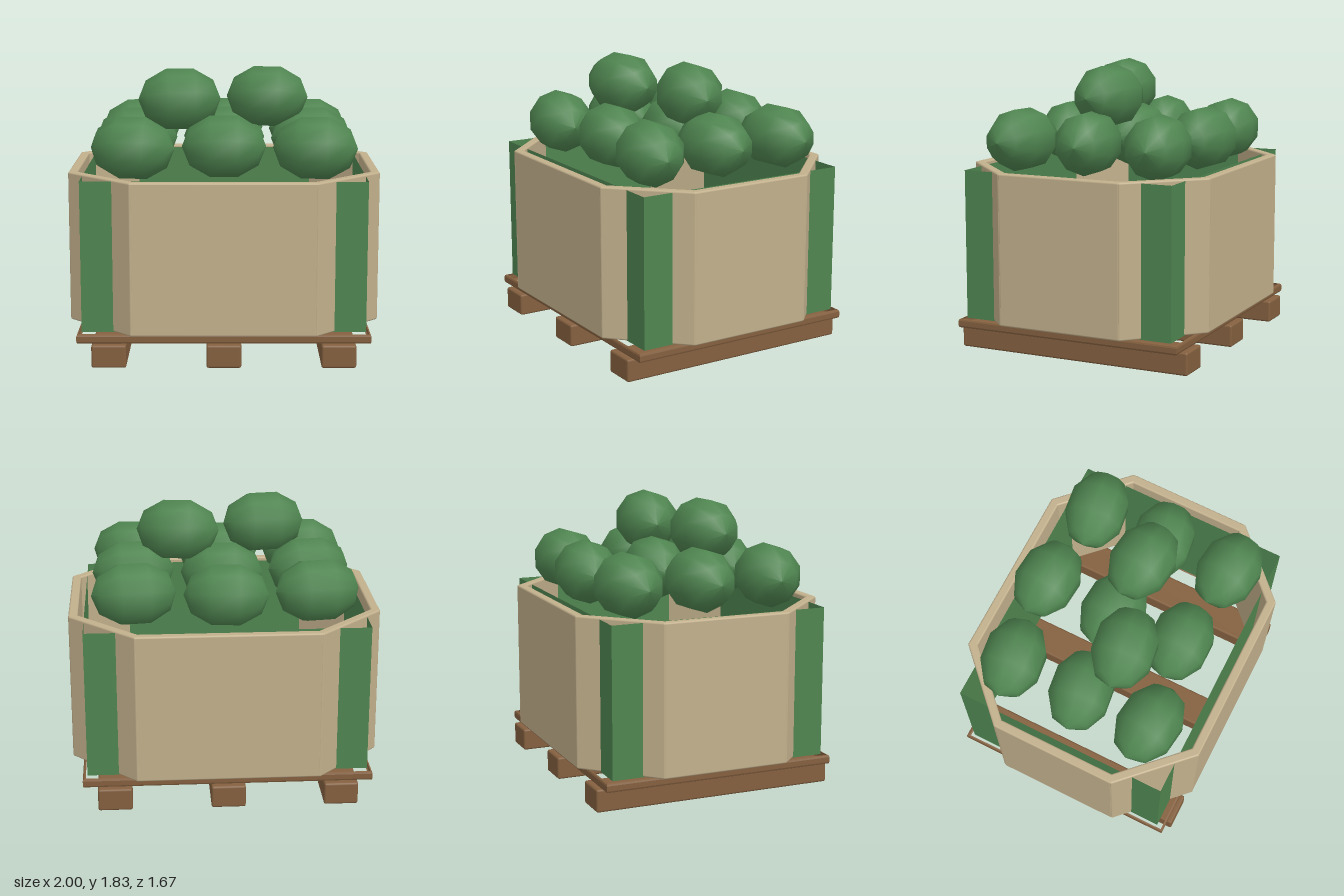
import * as THREE from 'three';
import { RoundedBoxGeometry } from 'three/addons/geometries/RoundedBoxGeometry.js';

const mat = (name, color, side = THREE.FrontSide) => {
  const m = new THREE.MeshStandardMaterial({ color, side });
  m.name = name;
  return m;
};

// Open rectangular band: a cross-section of [inset, y] points swept round four corners
function bandGeometry(hx, hz, section) {
  const pos = [];
  const corners = [[1, 1], [1, -1], [-1, -1], [-1, 1]];
  const at = (c, [inset, y]) => [c[0] * (hx - inset), y, c[1] * (hz - inset)];
  corners.forEach((a, i) => {
    const b = corners[(i + 1) % 4];
    for (let j = 0; j < section.length - 1; j++) {
      const p = at(a, section[j]), q = at(b, section[j]);
      const r = at(b, section[j + 1]), s = at(a, section[j + 1]);
      pos.push(...p, ...q, ...r, ...p, ...r, ...s);
    }
  });
  const g = new THREE.BufferGeometry();
  g.setAttribute('position', new THREE.Float32BufferAttribute(pos, 3));
  g.computeVertexNormals();
  return g;
}

// Oblong ten-sided melon lying along x
function melonGeometry() {
  const profile = [[0, -0.27], [0.123, -0.221], [0.198, -0.09], [0.198, 0.09], [0.123, 0.221], [0, 0.27]]
    .map(([r, y]) => new THREE.Vector2(r, y));
  return new THREE.LatheGeometry(profile, 10, Math.PI / 2).rotateZ(Math.PI / 2);
}

export function createModel() {
  const model = new THREE.Group();
  model.name = 'melonBin';
  const wood = mat('palletWood', 0x84603f, THREE.DoubleSide);
  const card = mat('cardboard', 0xc2b08c);
  const green = mat('green', 0x4f8550, THREE.DoubleSide);

  const add = (name, geometry, material, x, y, z, ry = 0) => {
    const mesh = new THREE.Mesh(geometry, material);
    mesh.name = name;
    mesh.position.set(x, y, z);
    mesh.rotation.y = ry;
    model.add(mesh);
  };

  // Pallet: three runners and an open deck frame
  const runner = new RoundedBoxGeometry(0.22, 0.148, 1.6, 2, 0.014);
  for (const x of [-0.725, 0, 0.725]) add('palletRunner', runner, wood, x, 0.074, 0);
  const deckSection = [[0.014, 0.15], [0.004, 0.154], [0, 0.164], [0, 0.196], [0.004, 0.206], [0.014, 0.21]];
  add('palletDeckFrame', bandGeometry(0.93, 0.77, deckSection), wood, 0, 0, 0);

  // Eight-sided cardboard bin
  const panel = (w) => new RoundedBoxGeometry(w, 0.975, 0.06, 2, 0.012);
  const longPanel = panel(1.17), sidePanel = panel(0.84), cornerPanel = panel(0.6);
  for (const s of [1, -1]) {
    add('longPanel', longPanel, card, 0, 0.7025, s * 0.805);
    add('sidePanel', sidePanel, card, s * 0.97, 0.7025, 0, Math.PI / 2);
    for (const t of [1, -1])
      add('cornerPanel', cornerPanel, card, s * 0.77, 0.7025, t * 0.607, s * t * Math.PI / 4);
  }

  // Green rectangular sleeve whose corners stand outside the bin
  const linerY = 0.6975, linerH = 0.965;
  for (const s of [1, -1]) {
    const turn = s > 0 ? 0 : Math.PI;
    add('sleeveWall', new THREE.PlaneGeometry(1.8, linerH), green, 0, linerY, s * 0.72, turn);
    add('sleeveEnd', new THREE.PlaneGeometry(1.44, linerH), green, s * 0.9, linerY, 0, s * Math.PI / 2);
  }

  // Melons: x, y, z, yaw
  const low = 1.355, high = 1.63;
  const melon = melonGeometry();
  const places = [
    [-0.58, low, -0.485, 0.13], [0, low, -0.545, -0.08], [0.58, low, -0.485, 0.13],
    [-0.58, low, 0, 0.13], [0, low, -0.065, -0.08], [0.58, low, 0, 0.13],
    [-0.58, low, 0.48, -0.13], [0, low, 0.415, 0], [0.58, low, 0.48, -0.13],
    [-0.29, high, 0.16, 0.13], [0.285, high, 0, -0.13],
  ];
  for (const [x, y, z, yaw] of places) add('melon', melon, green, x, y, z, yaw);

  return model;
}
